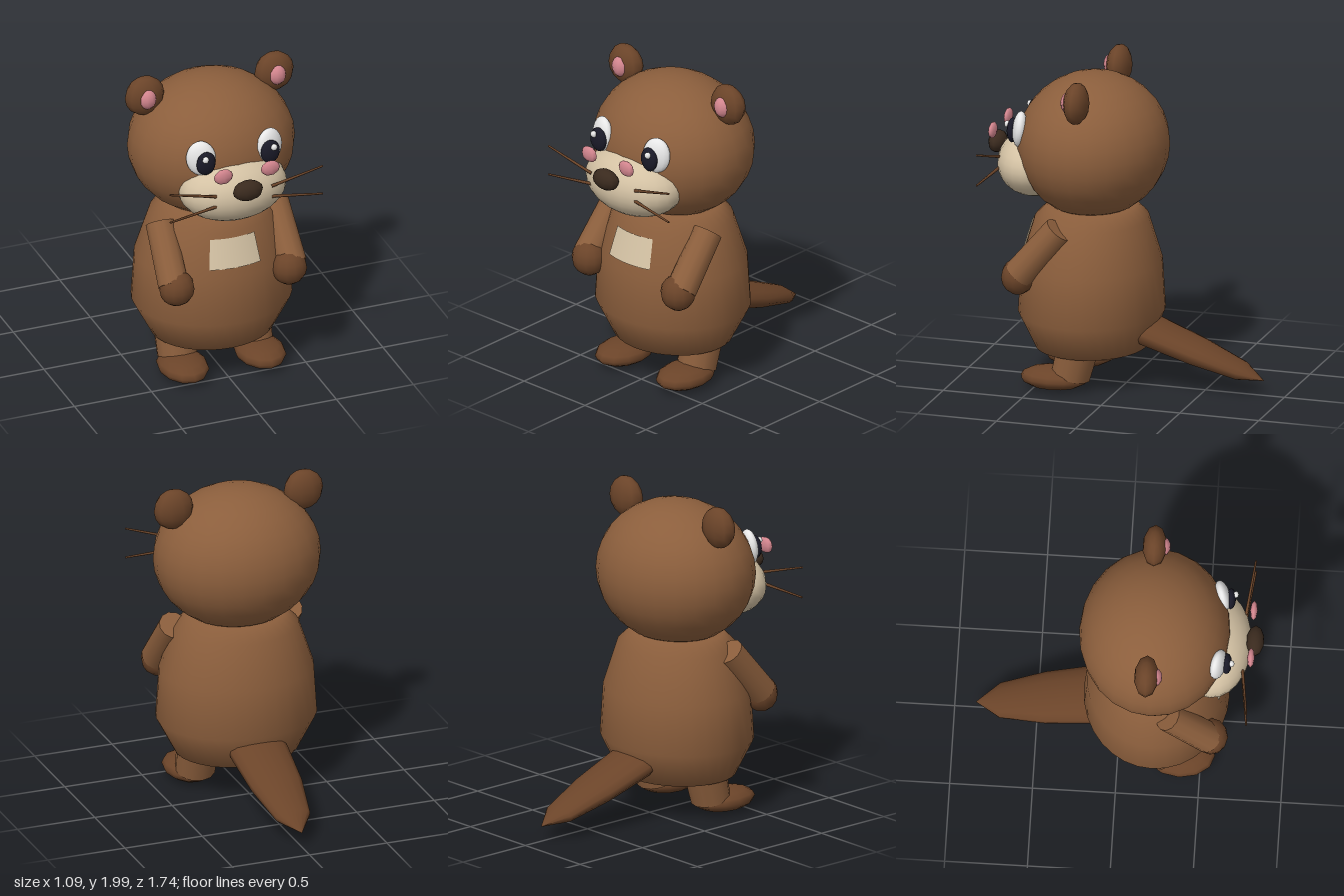
import * as THREE from 'three';

const mat = (name, color) => {
  const m = new THREE.MeshStandardMaterial({ color });
  m.name = name;
  return m;
};

export function createModel() {
  const fur = mat('fur brown', 0x8b5e3c);
  const dark = mat('dark brown', 0x6b4429);
  const cream = mat('cream', 0xd4c2a4);
  const pink = mat('pink', 0xd4868f);
  const noseMat = mat('nose brown', 0x3a2a1e);
  const white = mat('white', 0xf2f2f2);
  const black = mat('pupil black', 0x1a1a28);
  const creamPatch = cream.clone();
  creamPatch.side = THREE.DoubleSide;

  const model = new THREE.Group();
  model.name = 'animal';

  const add = (name, geometry, material, position = [0, 0, 0]) => {
    const mesh = new THREE.Mesh(geometry, material);
    mesh.name = name;
    mesh.position.set(...position);
    model.add(mesh);
    return mesh;
  };
  // Sphere stretched to the given radii
  const ball = (name, material, position, radii, w = 16, h = 12) => {
    const g = new THREE.SphereGeometry(1, w, h).scale(...radii);
    return add(name, g, material, position);
  };
  // Tapered round bar between two points
  const bar = (name, material, from, to, r0, r1, sides = 12) => {
    const a = new THREE.Vector3(...from), b = new THREE.Vector3(...to);
    const d = b.clone().sub(a);
    const mesh = add(name, new THREE.CylinderGeometry(r1, r0, d.length(), sides), material,
      a.clone().add(b).multiplyScalar(0.5).toArray());
    mesh.quaternion.setFromUnitVectors(new THREE.Vector3(0, 1, 0), d.normalize());
    return mesh;
  };
  const points = list => list.map(([r, y]) => new THREE.Vector2(r, y));

  // Torso, slightly flattened front to back
  const depth = 0.89, midZ = 0.22;
  const torso = new THREE.LatheGeometry(points([
    [0, 0.21], [0.2, 0.215], [0.38, 0.24], [0.495, 0.46], [0.475, 0.77], [0.385, 1.04], [0.3, 1.12], [0, 1.14],
  ]), 32).scale(1, 1, depth);
  add('torso', torso, fur, [0, 0, midZ]);

  // Chest patch, a thin shell following the torso
  const patch = new THREE.LatheGeometry(points([[0.464, 0.83], [0.43, 0.93], [0.403, 1.01]]), 10, -0.365, 0.73)
    .scale(1, 1, depth);
  add('chestPatch', patch, creamPatch, [0, 0, midZ]);

  // Head and face
  ball('head', fur, [0, 1.5, 0.21], [0.515, 0.442, 0.458], 24, 16);
  ball('muzzle', cream, [0, 1.365, 0.56], [0.34, 0.21, 0.235], 24, 16);
  ball('nose', noseMat, [0, 1.455, 0.815], [0.097, 0.066, 0.055], 10, 8);

  // Tail: flat paddle sloping down to a point
  const tail = new THREE.LatheGeometry(points([
    [0, -0.15], [0.17, -0.15], [0.185, 0], [0.165, 0.31], [0.112, 0.6], [0, 0.755],
  ]), 14).scale(1, 1, 0.46);
  add('tail', tail, dark, [0, 0.35, -0.16]).rotation.x = -1.907;

  // Paired parts
  for (const [side, s] of [['left', 1], ['right', -1]]) {
    ball(side + 'Ear', dark, [s * 0.42, 1.872, 0.183], [0.127, 0.128, 0.075], 10, 8);
    ball(side + 'InnerEar', pink, [s * 0.42, 1.872, 0.235], [0.056, 0.066, 0.045], 10, 8);

    const eye = ball(side + 'Eye', white, [s * 0.222, 1.615, 0.605], [0.09, 0.11, 0.045]);
    eye.rotation.set(-0.1, s * 0.3, 0);
    ball(side + 'Pupil', black, [s * 0.208, 1.6, 0.655], [0.062, 0.076, 0.032], 12, 10);
    ball(side + 'EyeGlint', white, [s * 0.222, 1.64, 0.685], [0.021, 0.021, 0.018], 8, 6);
    ball(side + 'Cheek', pink, [s * 0.152, 1.57, 0.798], [0.062, 0.05, 0.023], 8, 6);

    bar(side + 'UpperWhisker', dark, [s * 0.18, 1.415, 0.75], [s * 0.495, 1.51, 0.79], 0.01, 0.006, 6);
    bar(side + 'LowerWhisker', dark, [s * 0.18, 1.345, 0.75], [s * 0.495, 1.32, 0.79], 0.01, 0.006, 6);

    bar(side + 'Arm', fur, [s * 0.37, 1.05, 0.31], [s * 0.382, 0.75, 0.56], 0.09, 0.095);
    ball(side + 'Hand', dark, [s * 0.365, 0.732, 0.57], [0.11, 0.112, 0.103], 12, 8);

    bar(side + 'Leg', fur, [s * 0.245, 0.1, 0.275], [s * 0.245, 0.28, 0.23], 0.122, 0.13);
    ball(side + 'Foot', dark, [s * 0.25, 0.082, 0.378], [0.152, 0.072, 0.21], 12, 8);
  }
  return model;
}
